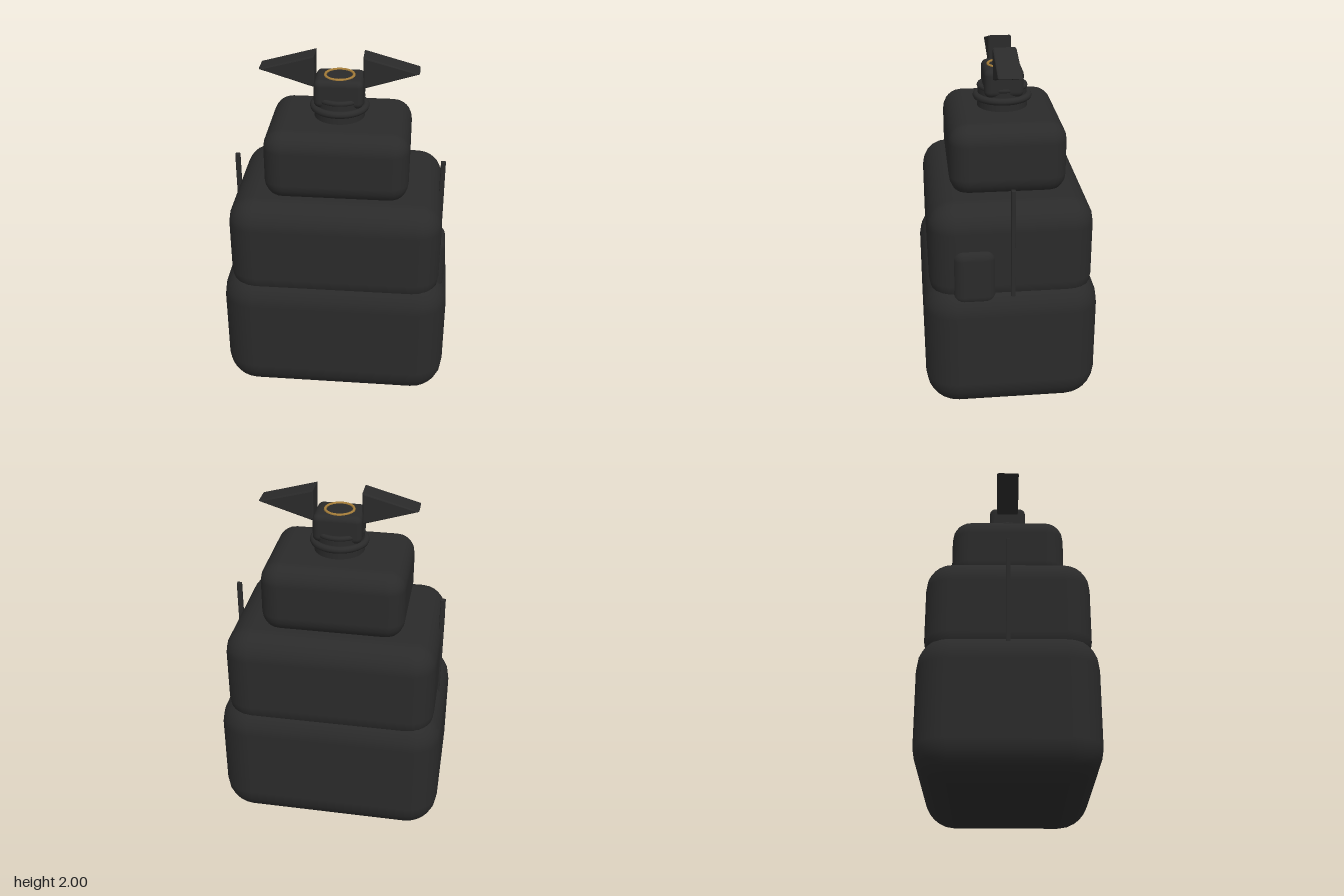
import * as THREE from 'three';
import { RoundedBoxGeometry } from 'three/addons/geometries/RoundedBoxGeometry.js';

export function createModel() {
  const model = new THREE.Group();
  model.name = 'stackedBag';
  const black = new THREE.MeshStandardMaterial({ color: 0x2a2a2a });
  black.name = 'black';
  const gold = new THREE.MeshStandardMaterial({ color: 0xa87f3a });
  gold.name = 'gold';

  const add = (name, geometry, material, x = 0, y = 0, z = 0) => {
    const mesh = new THREE.Mesh(geometry, material);
    mesh.name = name;
    mesh.position.set(x, y, z);
    model.add(mesh);
    return mesh;
  };
  // Soft box given by its half width, height range, half depth and corner radius
  const softBox = (name, hx, y0, y1, hz, r, x = 0, z = 0) =>
    add(name, new RoundedBoxGeometry(hx * 2, y1 - y0, hz * 2, 3, r), black, x, (y0 + y1) / 2, z);

  // Three stacked tiers
  softBox('lowerTier', 0.65, 0, 0.8, 0.492, 0.185);
  softBox('middleTier', 0.6, 0.645, 1.255, 0.456, 0.15);
  softBox('upperTier', 0.404, 1.225, 1.635, 0.325, 0.11);

  // Pouch on the left side only
  softBox('sidePouch', 0.075, 0.68, 1.02, 0.12, 0.06, 0.552, 0.21);

  // Neck with its collar rings
  add('neck', new THREE.CylinderGeometry(0.138, 0.142, 0.14, 32), black, 0, 1.69);
  add('collarRing', new THREE.TorusGeometry(0.147, 0.02, 10, 36), black, 0, 1.695).rotation.x = Math.PI / 2;
  add('upperCollarRing', new THREE.TorusGeometry(0.128, 0.015, 10, 36), black, 0, 1.752).rotation.x = Math.PI / 2;

  // Knot and the gold ring on top
  softBox('knot', 0.137, 1.71, 1.872, 0.11, 0.035);
  add('goldRing', new THREE.TorusGeometry(0.08, 0.008, 6, 24), gold, 0, 1.872).rotation.x = Math.PI / 2;

  for (const side of [1, -1]) {
    // Pointed bow wing, bevelled prism
    const b = 0.01;
    const wing = new THREE.Shape([
      new THREE.Vector2(side * 0.142, 1.828),
      new THREE.Vector2(side * 0.425, 1.913),
      new THREE.Vector2(side * 0.142, 1.988),
    ]);
    const geometry = new THREE.ExtrudeGeometry(wing, {
      depth: 0.11, bevelEnabled: true, bevelSize: b, bevelThickness: b, bevelSegments: 2,
    });
    add(side > 0 ? 'leftBowWing' : 'rightBowWing', geometry, black, 0, 0, -0.055);

    // Thin upright strap
    softBox(side > 0 ? 'leftStrap' : 'rightStrap', 0.014, 0.71, 1.36, 0.012, 0.004, side * 0.596);
  }
  return model;
}
